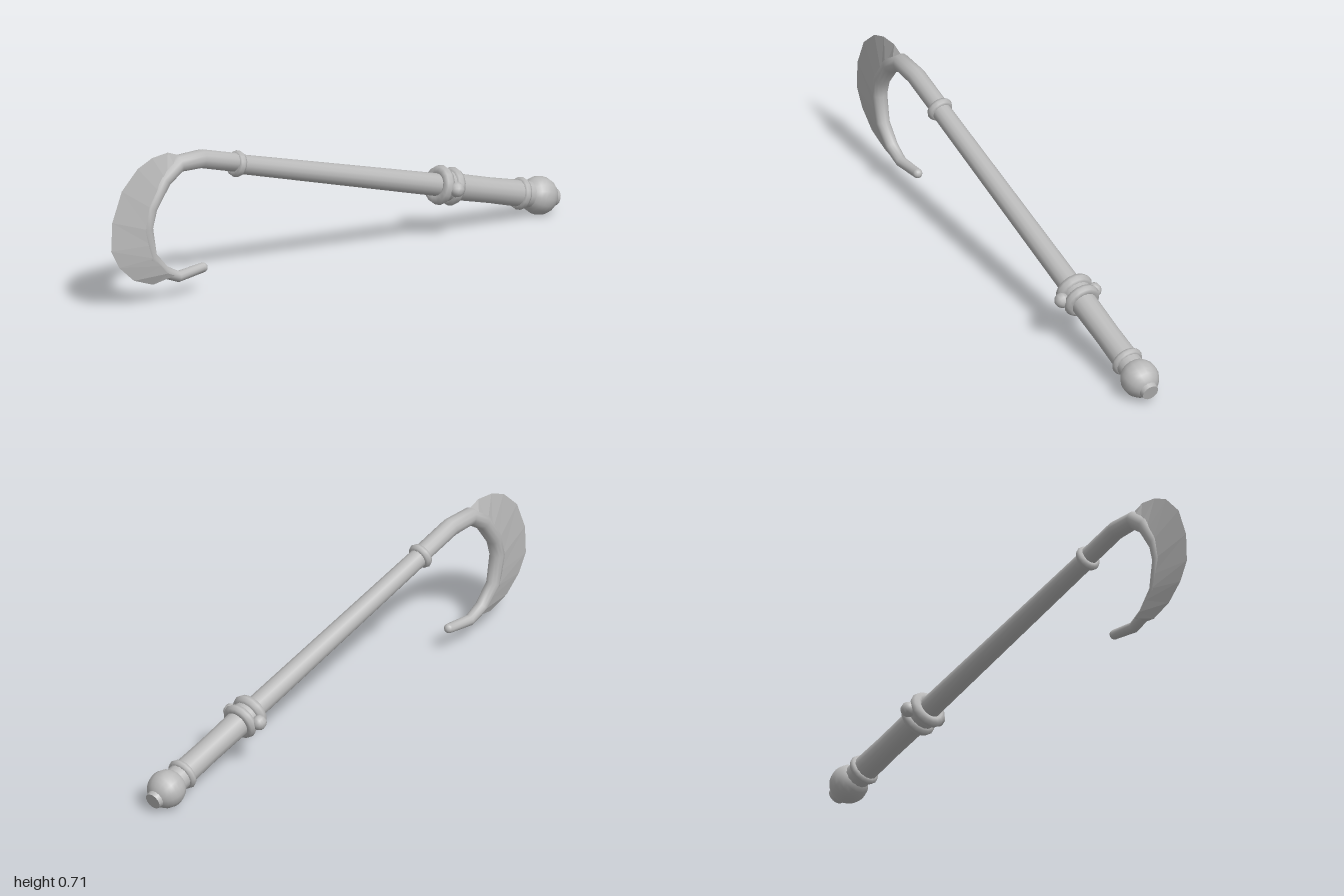
import * as THREE from 'three';

const V2 = (p) => new THREE.Vector2(p[0], p[1]);

// Round tube of changing radius along a path in the XY plane: [x, y, radius]
function taperedTube(path, sides) {
  const pos = [], idx = [];
  path.forEach(([x, y, r], i) => {
    const a = path[Math.max(i - 1, 0)], b = path[Math.min(i + 1, path.length - 1)];
    const t = V2([b[0] - a[0], b[1] - a[1]]).normalize();
    for (let k = 0; k < sides; k++) {
      const w = (k / sides) * Math.PI * 2, c = Math.cos(w) * r;
      pos.push(x - t.y * c, y + t.x * c, Math.sin(w) * r);
    }
  });
  for (let i = 0; i < path.length - 1; i++) {
    for (let k = 0; k < sides; k++) {
      const a = i * sides + k, b = i * sides + (k + 1) % sides;
      idx.push(a, a + sides, b, b, a + sides, b + sides);
    }
  }
  const g = new THREE.BufferGeometry();
  g.setAttribute('position', new THREE.Float32BufferAttribute(pos, 3));
  g.setIndex(idx);
  g.computeVertexNormals();
  return g;
}

// Wedge blade: thick along the inner line, sharp along the outer line
function wedge(inner, outer, half) {
  const pos = [];
  for (let i = 0; i < outer.length - 1; i++) {
    for (const s of [1, -1]) {
      const [a, b] = [inner[i], inner[i + 1]].map((p) => [p[0], p[1], s * half]);
      const [c, d] = [outer[i], outer[i + 1]].map((p) => [p[0], p[1], 0]);
      const tris = s > 0 ? [a, b, c, c, b, d] : [a, c, b, c, d, b];
      pos.push(...tris.flat());
    }
  }
  const g = new THREE.BufferGeometry();
  g.setAttribute('position', new THREE.Float32BufferAttribute(pos, 3));
  g.computeVertexNormals();
  return g;
}

export function createModel() {
  const steel = new THREE.MeshStandardMaterial({ color: 0xbababa, side: THREE.DoubleSide });
  steel.name = 'steel grey';
  const root = new THREE.Group();
  root.name = 'hookedStaff';

  // Everything lies in one upright plane, turned diagonally
  const plane = new THREE.Group();
  plane.name = 'staffPlane';
  plane.rotation.y = Math.atan2(-0.769, -0.64);
  root.add(plane);

  const add = (parent, name, geometry, x = 0, y = 0, z = 0) => {
    const m = new THREE.Mesh(geometry, steel);
    m.name = name;
    m.position.set(x, y, z);
    parent.add(m);
    return m;
  };

  // Straight part, running along local +y from the pommel
  const tilt = Math.atan2(0.487, 1.778);
  const staff = new THREE.Group();
  staff.name = 'straightStaff';
  staff.position.set(-1.187, 0.097, 0);
  staff.rotation.z = tilt - Math.PI / 2;
  plane.add(staff);

  add(staff, 'pommel', new THREE.SphereGeometry(0.09, 16, 12));
  add(staff, 'pommelCap', new THREE.CylinderGeometry(0.046, 0.04, 0.03, 14), 0, -0.085);
  add(staff, 'grip', new THREE.LatheGeometry(
    [[0.062, 0.05], [0.062, 0.12], [0.059, 0.3], [0.062, 0.56]].map(V2), 14));
  add(staff, 'shaft', new THREE.LatheGeometry(
    [[0.053, 0.55], [0.045, 1.845]].map(V2), 14));

  const ring = (name, y, radius, tube) => {
    add(staff, name, new THREE.TorusGeometry(radius, tube, 8, 16), 0, y).rotation.x = Math.PI / 2;
  };
  ring('gripRing', 0.116, 0.057, 0.02);
  ring('hookRing', 1.843, 0.042, 0.021);

  // Collar with a double ring and a stud on either side
  ring('collarRingLower', 0.535, 0.065, 0.025);
  ring('collarRingUpper', 0.605, 0.065, 0.028);
  add(staff, 'collarBand', new THREE.CylinderGeometry(0.072, 0.072, 0.07, 16), 0, 0.57);
  for (const s of [1, -1]) {
    add(staff, s > 0 ? 'studA' : 'studB', new THREE.SphereGeometry(0.036, 10, 8), 0, 0.57, s * 0.085);
  }

  // Curved hook
  const hook = [
    [0.58, 0.587, 0.044], [0.8, 0.648, 0.044], [0.935, 0.65, 0.042],
    [1.025, 0.588, 0.04], [1.105, 0.469, 0.038], [1.128, 0.374, 0.036],
    [1.1, 0.234, 0.033], [1.018, 0.147, 0.03], [0.935, 0.11, 0.026], [0.79, 0.126, 0.023],
  ];
  add(plane, 'hook', taperedTube(hook, 12));
  add(plane, 'hookTip', new THREE.SphereGeometry(0.023, 12, 8), 0.79, 0.126);

  // Crescent blade on the outside of the hook
  const outer = [
    [0.932, 0.69], [0.996, 0.714], [1.088, 0.705], [1.173, 0.669], [1.267, 0.578], [1.323, 0.438],
    [1.329, 0.302], [1.281, 0.215], [1.195, 0.138], [1.082, 0.098], [1.004, 0.111],
  ];
  const inner = [
    [0.932, 0.655], [0.965, 0.63], [1.025, 0.588], [1.06, 0.535], [1.105, 0.469], [1.128, 0.374],
    [1.115, 0.3], [1.1, 0.234], [1.06, 0.19], [1.018, 0.147], [0.98, 0.13],
  ];
  add(plane, 'blade', wedge(inner, outer, 0.032));

  return root;
}
